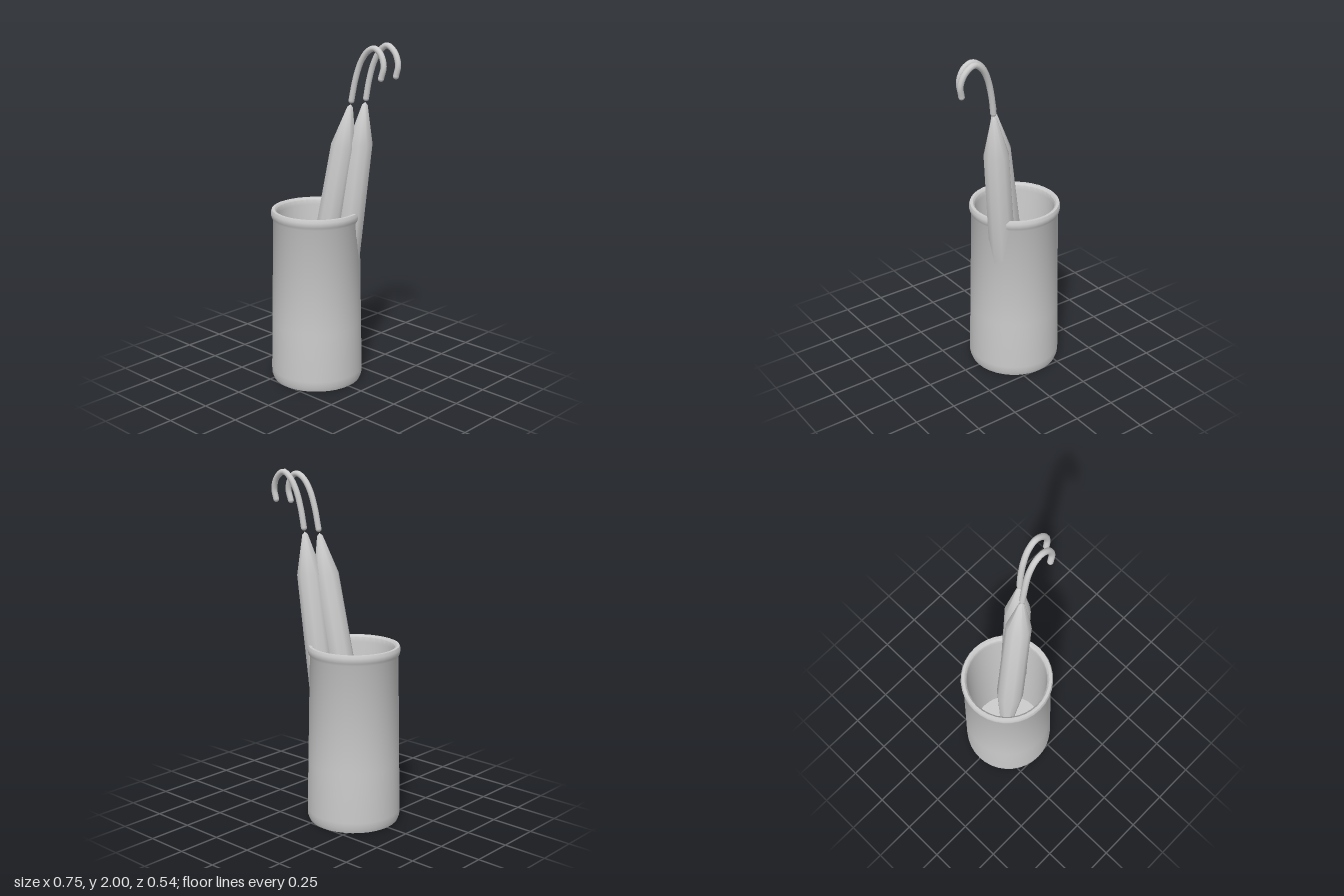
import * as THREE from 'three';
import { toCreasedNormals } from 'three/addons/utils/BufferGeometryUtils.js';

const material = new THREE.MeshStandardMaterial({ color: 0xcccccc });

function lathe(name, profile, sides, crease) {
  const points = profile.map(([r, y]) => new THREE.Vector2(r, y));
  const geometry = toCreasedNormals(new THREE.LatheGeometry(points, sides), crease);
  const mesh = new THREE.Mesh(geometry, material);
  mesh.name = name;
  return mesh;
}

// Furled canopy: a faceted spindle laid along the line from foot to tip
function createCanopy(foot, tip) {
  const axis = tip.clone().sub(foot);
  const length = axis.length();
  const profile = [[0, 0], [0.02, 0], [0.079, 0.34], [0.071, 0.845], [0.016, 0.99], [0, 1]];
  const canopy = lathe('canopy', profile.map(([r, t]) => [r, t * length]), 10, 1.0);
  canopy.position.copy(foot);
  canopy.quaternion.setFromUnitVectors(new THREE.Vector3(0, 1, 0), axis.normalize());
  return canopy;
}

// Crook handle: a bent tube with rounded ends
function createHandle(path) {
  const handle = new THREE.Group();
  handle.name = 'handle';
  const points = path.map((p) => new THREE.Vector3(...p));
  const curve = new THREE.CatmullRomCurve3(points);
  const crook = new THREE.Mesh(new THREE.TubeGeometry(curve, 32, 0.017, 10), material);
  crook.name = 'crook';
  handle.add(crook);
  for (const p of [points[0], points[points.length - 1]]) {
    const end = new THREE.Mesh(new THREE.SphereGeometry(0.017, 10, 8), material);
    end.name = 'handleEnd';
    end.position.copy(p);
    handle.add(end);
  }
  return handle;
}

function createUmbrella(name, foot, tip, path) {
  const umbrella = new THREE.Group();
  umbrella.name = name;
  umbrella.add(createCanopy(new THREE.Vector3(...foot), new THREE.Vector3(...tip)), createHandle(path));
  return umbrella;
}

export function createModel() {
  const model = new THREE.Group();
  model.name = 'umbrellaStand';

  // Hollow pot with a rounded foot and a rolled rim
  const pot = lathe('pot', [
    [0, 0], [0.258, 0], [0.267, 0.025], [0.268, 0.06], [0.262, 0.35], [0.25, 0.97],
    [0.258, 0.985], [0.262, 1.0], [0.262, 1.015], [0.256, 1.03],
    [0.24, 1.03], [0.23, 1.02], [0.227, 0.99], [0.225, 0.03], [0, 0.03],
  ], 36, 0.7);
  pot.position.x = -0.107;
  model.add(pot);

  model.add(createUmbrella('frontUmbrella', [-0.16, 0.16, 0.022], [0.088, 1.65, -0.074], [
    [0.093, 1.672, -0.075], [0.117, 1.79, -0.08], [0.15, 1.89, -0.087], [0.195, 1.95, -0.091],
    [0.245, 1.97, -0.091], [0.29, 1.945, -0.089], [0.316, 1.88, -0.085], [0.302, 1.815, -0.08],
  ]));
  model.add(createUmbrella('backUmbrella', [-0.018, 0.16, -0.065], [0.137, 1.66, -0.14], [
    [0.141, 1.682, -0.142], [0.156, 1.78, -0.148], [0.183, 1.88, -0.155], [0.222, 1.95, -0.161],
    [0.272, 1.983, -0.163], [0.328, 1.95, -0.161], [0.356, 1.885, -0.157], [0.346, 1.825, -0.152],
  ]));
  return model;
}
